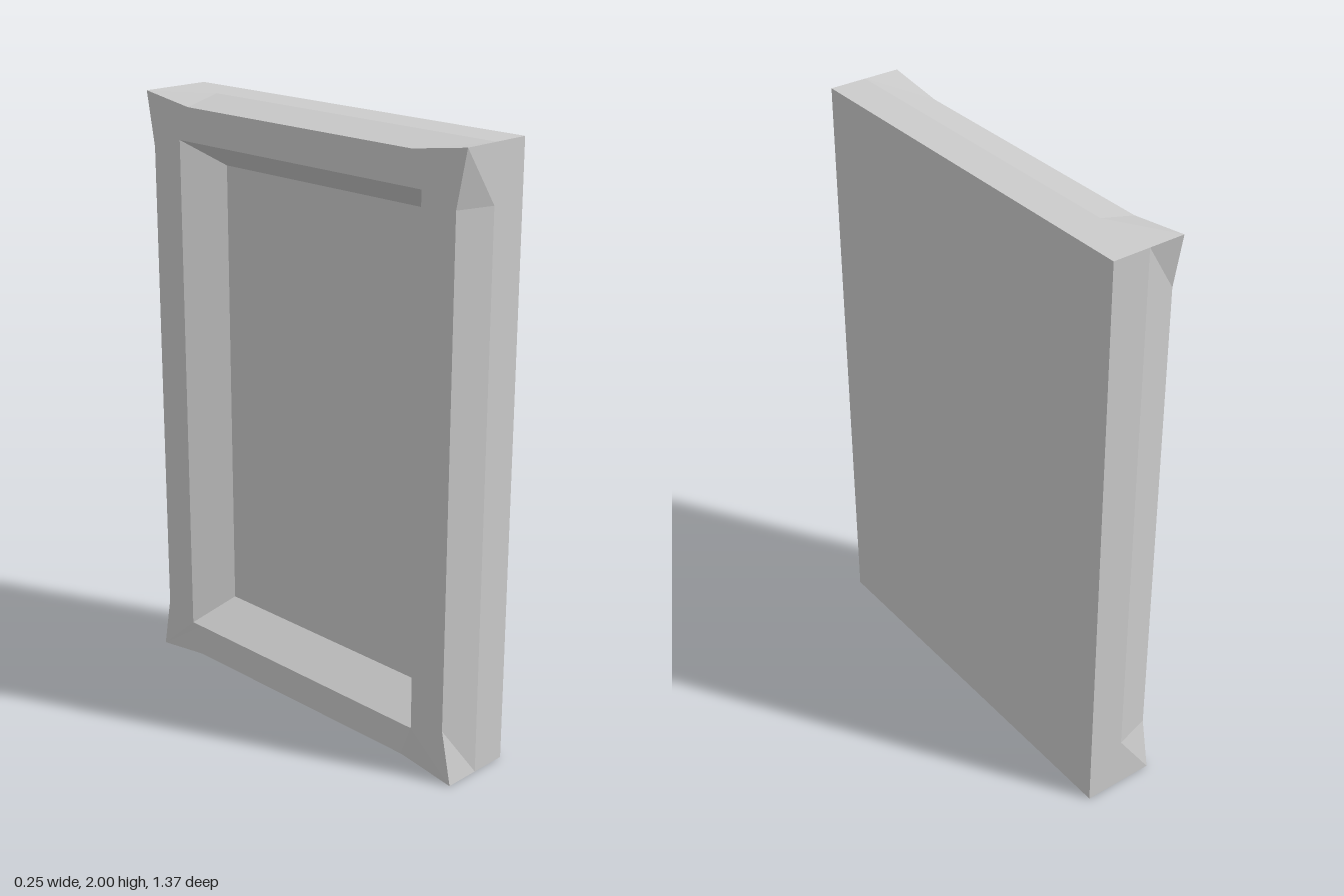
import * as THREE from 'three';

const material = new THREE.MeshStandardMaterial({ color: 0xcccccc, flatShading: true });

// One 12-point loop in the z/y plane: four corners plus two points beside each.
// corner = [z, y], mid = where the corner sections end, side = position of the straight edges.
function ring(corner, mid, side, xCorner, xMid = xCorner) {
  const quarter = [[side[0], mid[1], xMid], [corner[0], corner[1], xCorner], [mid[0], side[1], xMid]];
  const points = [];
  for (const [sz, sy] of [[1, 1], [-1, 1], [-1, -1], [1, -1]]) {
    const part = sz * sy > 0 ? quarter : [...quarter].reverse();
    for (const [z, y, x] of part) points.push(new THREE.Vector3(x, 1 + sy * y, sz * z));
  }
  return points;
}

// Joins successive loops with flat-shaded quads.
function loft(rings) {
  const triangles = [];
  for (let r = 0; r < rings.length - 1; r++) {
    const a = rings[r], b = rings[r + 1];
    for (let i = 0; i < a.length; i++) {
      const j = (i + 1) % a.length;
      triangles.push(a[i], a[j], b[j], a[i], b[j], b[i]);
    }
  }
  const geometry = new THREE.BufferGeometry().setFromPoints(triangles);
  geometry.computeVertexNormals();
  return geometry;
}

export function createModel() {
  const group = new THREE.Group();
  group.name = 'framedPanel';

  // Flat backing panel
  const panel = new THREE.Mesh(new THREE.BoxGeometry(0.125, 2, 1.37), material);
  panel.name = 'backingPanel';
  panel.position.set(0.0625, 1, 0);
  group.add(panel);

  // Frame with flared corners and a recess whose walls slope inward
  const frame = new THREE.Mesh(loft([
    ring([0.685, 1], [0.48, 0.82], [0.685, 1], 0),
    ring([0.685, 1], [0.48, 0.82], [0.65, 0.97], -0.121, -0.123),
    ring([0.522, 0.86], [0.48, 0.82], [0.522, 0.86], -0.125),
    ring([0.437, 0.772], [0.4, 0.73], [0.437, 0.772], 0),
  ]), material);
  frame.name = 'frame';
  group.add(frame);

  return group;
}
